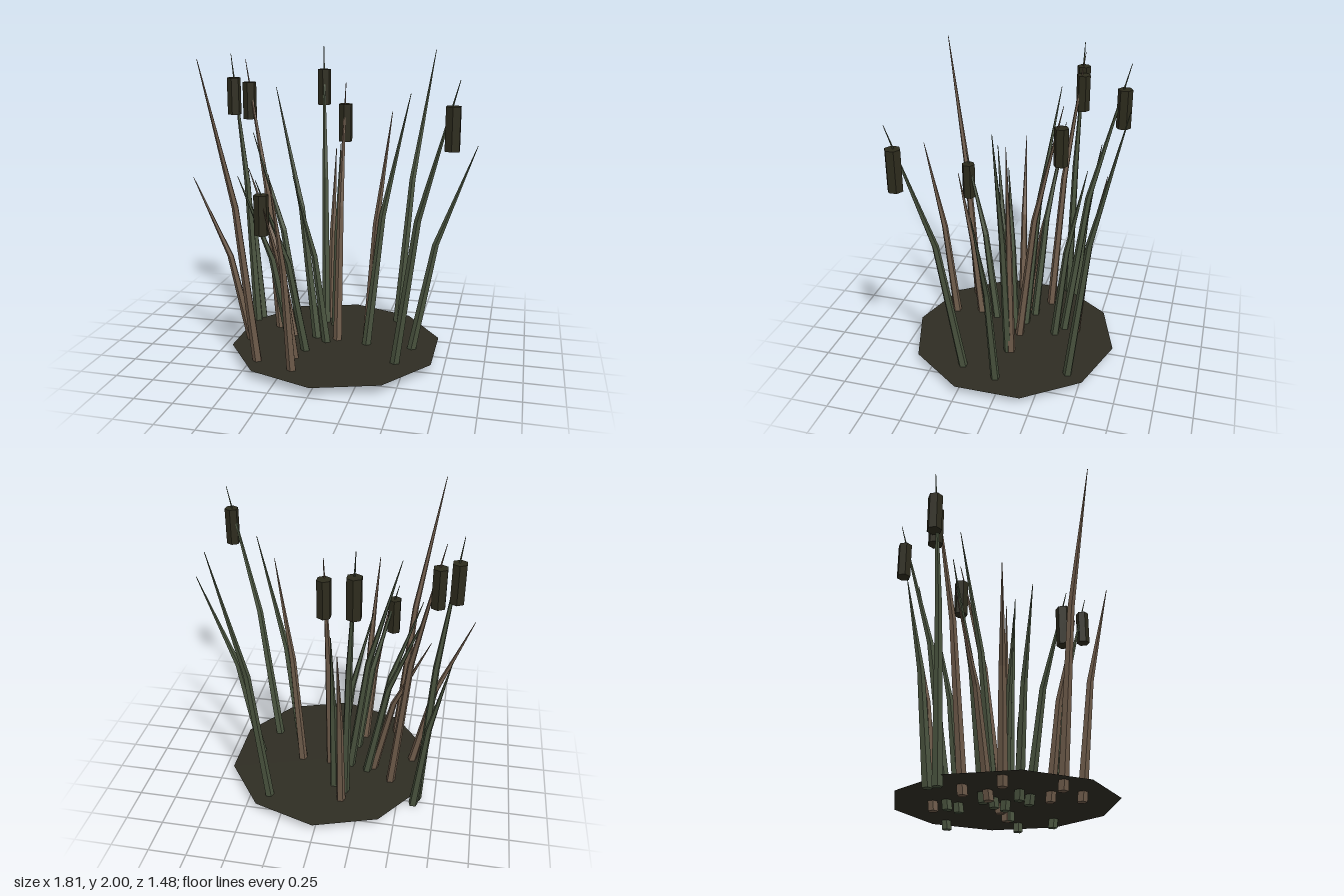
import * as THREE from 'three';

const paint = (name, color, extra = {}) =>
  Object.assign(new THREE.MeshStandardMaterial({ color, flatShading: true, ...extra }), { name });

// A blade that tapers from base to tip, with one bend a little above half height
function bladeGeometry(base, tip) {
  const [bx, bz] = base, [tx, ty, tz] = tip;
  const geo = new THREE.CylinderGeometry(1, 1, 1, 5, 2);
  const rings = [
    { x: bx, y: 0.005, z: bz, r: 0.032 },
    { x: bx + (tx - bx) * 0.38, y: ty * 0.55, z: bz + (tz - bz) * 0.38, r: 0.022 },
    { x: tx, y: ty, z: tz, r: 0.002 },
  ];
  const pos = geo.attributes.position;
  for (let i = 0; i < pos.count; i++) {
    const ring = rings[Math.round((pos.getY(i) + 0.5) * 2)];
    pos.setXYZ(i, ring.x + pos.getX(i) * ring.r, ring.y, ring.z + pos.getZ(i) * ring.r);
  }
  geo.computeVertexNormals();
  return geo;
}

export function createModel() {
  const model = new THREE.Group();
  model.name = 'reedClump';
  const green = paint('reed green', 0x4a543f);
  const brown = paint('dry reed brown', 0x6e5b4a);
  const dark = paint('seed head brown', 0x2d2b1d);
  const mud = paint('mud', 0x2f2d23, { side: THREE.DoubleSide });

  const add = (name, geo, mat, parent = model) => {
    const mesh = new THREE.Mesh(geo, mat);
    mesh.name = name;
    parent.add(mesh);
    return mesh;
  };

  // Flat ten-sided ground patch, pierced by the stems
  const patch = add('groundPatch', new THREE.CircleGeometry(0.7, 10, Math.PI / 2), mud);
  patch.rotation.x = -Math.PI / 2;
  patch.position.set(0.01, 0.065, 0.04);

  // Plain blades: colour, base [x, z], tip [x, y, z]
  const blades = [
    [green, [0.35, -0.41], [0.54, 1.98, -0.74]],
    [green, [0.51, 0.03], [0.90, 1.44, 0.03]],
    [green, [0.21, 0.03], [0.48, 1.75, 0.035]],
    [brown, [0.21, 0.01], [0.36, 1.63, -0.01]],
    [brown, [-0.13, -0.37], [-0.13, 1.29, -0.54]],
    [green, [-0.06, -0.23], [-0.07, 1.34, -0.42]],
    [green, [-0.61, -0.27], [-0.79, 1.23, -0.39]],
    [brown, [-0.55, 0.13], [-0.91, 1.19, 0.20]],
    [brown, [-0.41, 0.44], [-0.64, 1.98, 0.69]],
    [green, [-0.26, 0.17], [-0.56, 1.24, 0.32]],
    [green, [-0.05, 0.05], [-0.25, 1.22, 0.15]],
    [brown, [-0.19, 0.34], [-0.32, 1.10, 0.54]],
    [brown, [-0.16, 0.52], [-0.215, 1.35, 0.74]],
    [green, [-0.25, -0.04], [-0.62, 1.44, -0.16]],
    [green, [-0.13, 0.0], [-0.45, 1.75, -0.16]],
    [brown, [-0.29, 0.0], [-0.65, 1.20, -0.13]],
  ];
  for (const [mat, base, tip] of blades) add('blade', bladeGeometry(base, tip), mat);

  // Stems with seed heads: colour, base, tip, head centre
  const cattails = [
    [green, [-0.63, -0.21], [-0.795, 1.96, -0.24], [-0.78, 1.675, -0.24]],
    [brown, [-0.43, -0.12], [-0.70, 1.92, -0.265], [-0.675, 1.645, -0.26]],
    [green, [-0.14, -0.28], [-0.245, 2.0, -0.635], [-0.235, 1.715, -0.605]],
    [brown, [0.01, 0.01], [0.0, 1.78, -0.27], [0.0, 1.515, -0.26]],
    [green, [-0.15, 0.21], [-0.38, 1.26, 0.50], [-0.355, 1.04, 0.475]],
    [green, [0.44, 0.27], [0.82, 1.88, 0.53], [0.785, 1.61, 0.505]],
  ];
  for (const [mat, base, tip, head] of cattails) {
    const cattail = new THREE.Group();
    cattail.name = 'cattail';
    model.add(cattail);
    add('stem', bladeGeometry(base, tip), mat, cattail);
    add('seedHead', new THREE.CylinderGeometry(0.047, 0.047, 0.25, 6), dark, cattail).position.set(...head);
  }
  return model;
}
